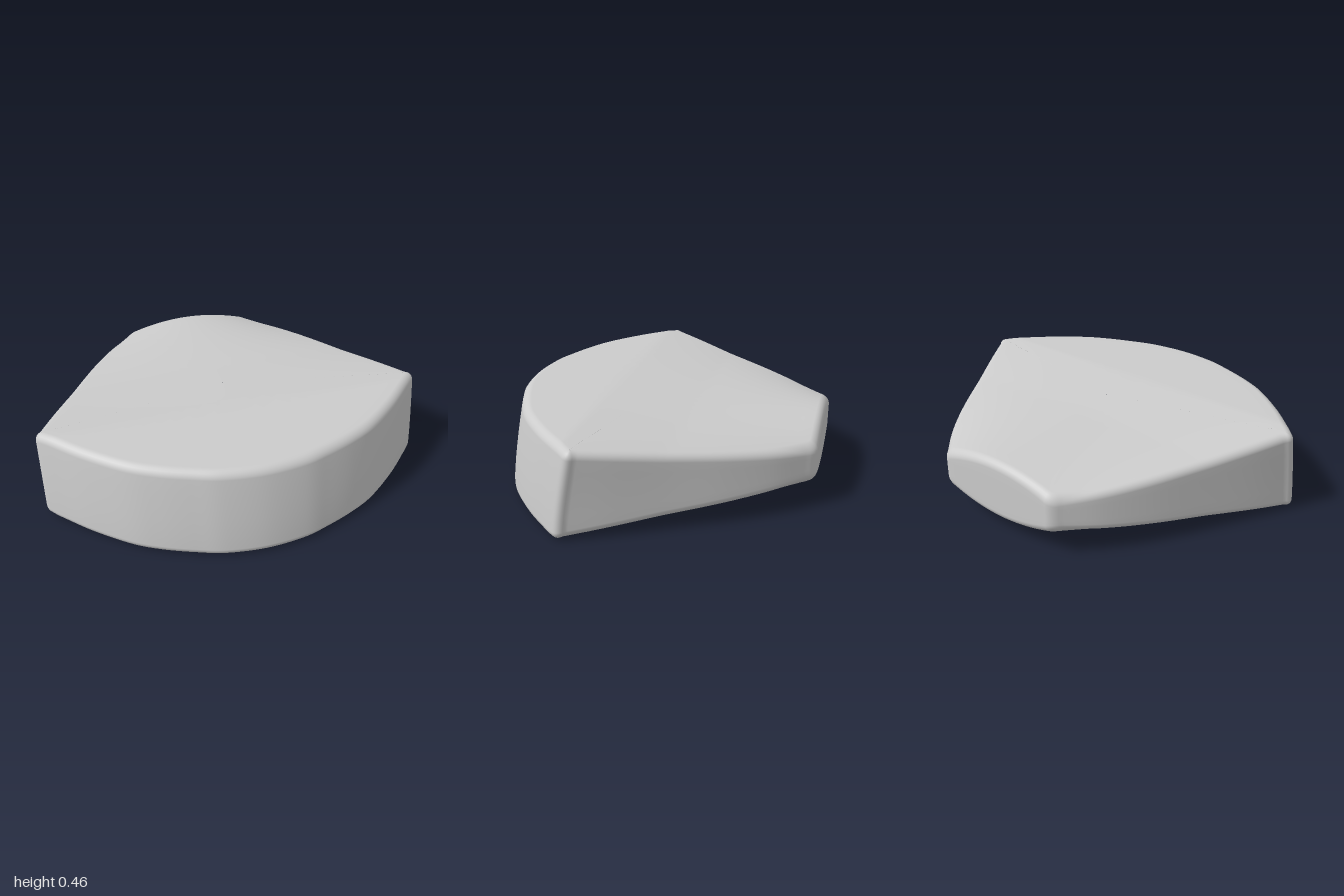
import * as THREE from 'three';

const MID = 0.232;    // height of the symmetry plane between top and bottom
const FILLET = 0.04;  // rounding of the upper and lower rims
const LEAN = 0.08;    // how far the foot of the front wall steps forward

const V = (x, z) => new THREE.Vector2(x, z);
const lerp = THREE.MathUtils.lerp;
const ramp = (v, a, b) => THREE.MathUtils.clamp((v - a) / (b - a), 0, 1);

// Plan outline at the top rim: front centre -> +x corner -> back, then mirrored
function outline() {
  const front = new THREE.SplineCurve([V(-0.2, 0.728), V(0, 0.748), V(0.2, 0.728), V(0.34, 0.685), V(0.49, 0.625),
    V(0.63, 0.548), V(0.8, 0.41), V(0.93, 0.28), V(0.982, 0.225)]);
  const side = new THREE.SplineCurve([V(0.982, 0.16), V(0.9, 0), V(0.78, -0.215), V(0.64, -0.46),
    V(0.51, -0.65), V(0.385, -0.79)]);
  const half = [
    ...front.getPoints(64).slice(8),
    ...new THREE.QuadraticBezierCurve(V(0.982, 0.225), V(1.018, 0.19), V(0.982, 0.16)).getPoints(8).slice(1),
    ...side.getPoints(40).slice(1),
    ...new THREE.QuadraticBezierCurve(V(0.385, -0.79), V(0.355, -0.83), V(0.32, -0.83)).getPoints(8).slice(1),
    ...new THREE.LineCurve(V(0.32, -0.83), V(0, -0.83)).getPoints(8).slice(1),
  ];
  const mirror = half.slice(1, -1).reverse().map(p => V(-p.x, p.y));
  return [...half, ...mirror];
}

// Half thickness: flat at the front, tapering and crowned towards the back
function halfThickness(x, z) {
  const spine = 0.232 - 0.042 * ramp(z, 0.25, -0.2) - 0.035 * ramp(z, -0.2, -0.83);
  const edge = lerp(0.36, 1, ramp(z, -0.83, 0.2));
  return spine - 0.07 * Math.pow(ramp(z, 0.25, -0.83), 1.2) * Math.min(1, (x / edge) ** 2);
}

function bodyGeometry() {
  const base = outline(), n = base.length;
  const normals = base.map((p, j) => {
    const t = base[(j + 1) % n].clone().sub(base[(j + n - 1) % n]).normalize();
    return V(-t.y, t.x);
  });

  // Rings from the bottom centre, round the rims, to the top centre
  const lower = [];
  for (let i = 0; i <= 16; i++) lower.push({ scale: Math.max(i / 16, 0.001), inset: FILLET, drop: 0 });
  for (let i = 1; i <= 6; i++) {
    const a = i / 6 * Math.PI / 2;
    lower.push({ scale: 1, inset: FILLET * (1 - Math.sin(a)), drop: FILLET * (1 - Math.cos(a)) });
  }
  const rings = lower.map(r => ({ ...r, sign: -1 }));
  for (const blend of [0.2, 0.4, 0.6, 0.8]) rings.push({ scale: 1, inset: 0, drop: FILLET, sign: 2 * blend - 1 });
  rings.push(...lower.map(r => ({ ...r, sign: 1 })).reverse());

  const pos = [], index = [];
  for (const r of rings) {
    base.forEach((p, j) => {
      const x = (p.x - normals[j].x * r.inset) * r.scale;
      const z = (p.y - normals[j].y * r.inset) * r.scale;
      const h = halfThickness(x, z) - r.drop;
      const y = MID + r.sign * h;
      // wall leans: lower levels slide forward, fading out to the back
      const slide = LEAN * ramp(z, -0.83, 0.2) * (1 - Math.pow(ramp(y, 0, 2 * MID), 1.3));
      pos.push(x, y, z + slide);
    });
  }
  for (let i = 0; i < rings.length - 1; i++) {
    for (let j = 0; j < n; j++) {
      const a = i * n + j, b = i * n + (j + 1) % n;
      index.push(a, b, a + n, b, b + n, a + n);
    }
  }
  const g = new THREE.BufferGeometry();
  g.setAttribute('position', new THREE.Float32BufferAttribute(pos, 3));
  g.setIndex(index);
  g.computeVertexNormals();
  return g;
}

export function createModel() {
  const group = new THREE.Group();
  group.name = 'wedgeBlock';
  const body = new THREE.Mesh(bodyGeometry(), new THREE.MeshStandardMaterial({ color: 0xcccccc }));
  body.name = 'roundedWedgeBody';
  group.add(body);
  return group;
}
